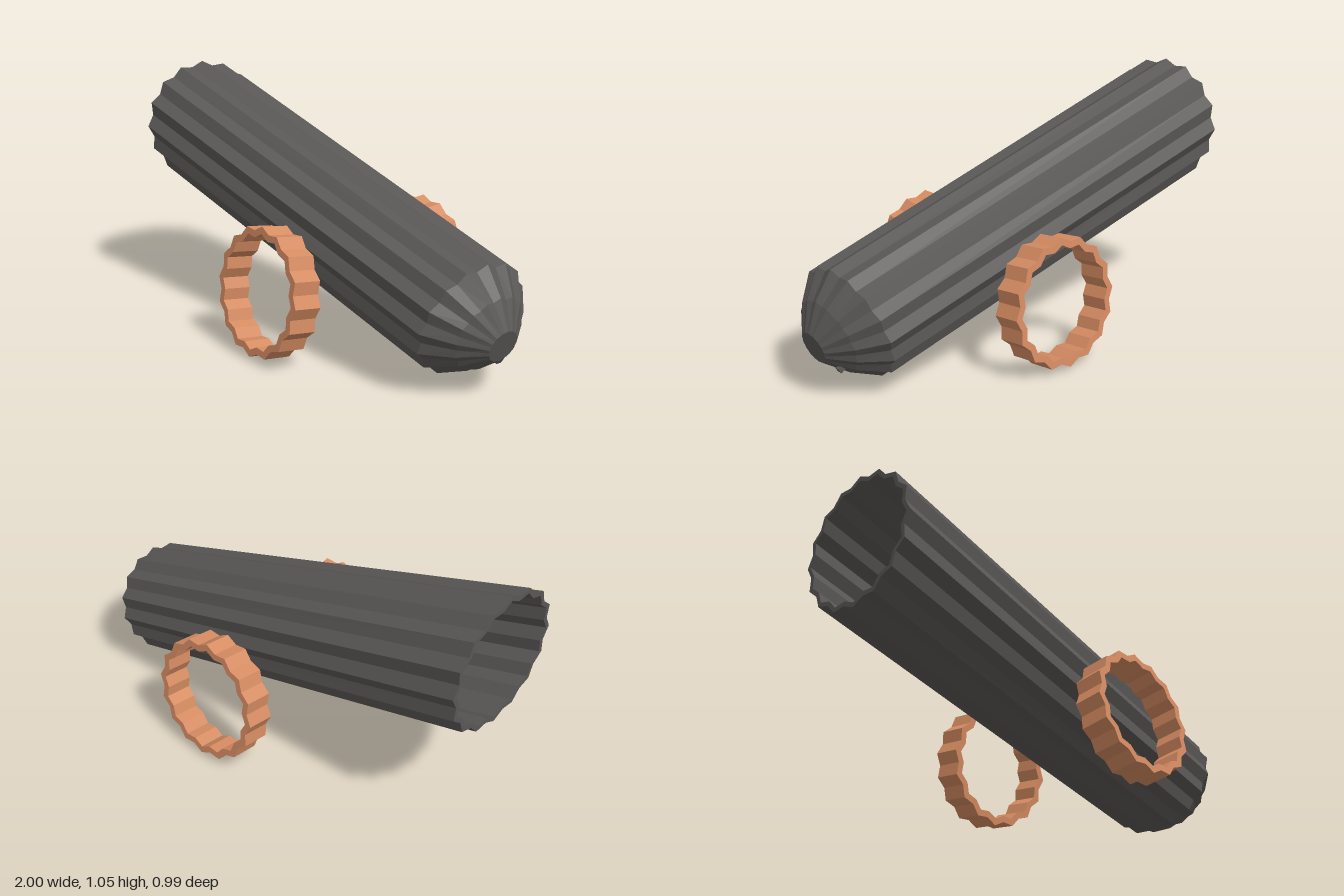
import * as THREE from 'three';

const LOBES = 16;

// Closed star-like outline: ridges at radius r, grooves at r * k
function starPoints(r, k) {
  return Array.from({ length: LOBES * 2 }, (_, i) => {
    const a = (i * Math.PI) / LOBES;
    const q = i % 2 ? r * k : r;
    return new THREE.Vector2(Math.sin(a) * q, Math.cos(a) * q);
  });
}

// Skin between fluted cross-sections: faces outward along +x, inward along -x
function loft(sections) {
  const n = LOBES * 2, pos = [], index = [];
  for (const { c, lean, ry, rz, k } of sections) {
    for (const p of starPoints(1, k)) {
      const h = p.y * ry;
      pos.push(c[0] + h * Math.sin(lean), c[1] + h * Math.cos(lean), c[2] + p.x * rz);
    }
  }
  for (let j = 0; j < sections.length - 1; j++) {
    for (let i = 0; i < n; i++) {
      const a = j * n + i, b = j * n + ((i + 1) % n);
      index.push(a, b, a + n, b, b + n, a + n);
    }
  }
  const geo = new THREE.BufferGeometry();
  geo.setAttribute('position', new THREE.Float32BufferAttribute(pos, 3));
  geo.setIndex(index);
  const flat = geo.toNonIndexed();
  flat.computeVertexNormals();
  return flat;
}

// Same cross-section with its radii reduced by a wall thickness
const inset = (s, t) => ({ ...s, ry: s.ry - t, rz: s.rz - t });
// Same cross-section shrunk to its centre, to close an end
const centre = (s) => ({ ...s, ry: 0, rz: 0 });

export function createModel() {
  const iron = new THREE.MeshStandardMaterial({ color: 0x5a5856, flatShading: true, side: THREE.DoubleSide });
  iron.name = 'darkIron';
  const copper = new THREE.MeshStandardMaterial({ color: 0xd68c62, flatShading: true });
  copper.name = 'copperWood';

  const model = new THREE.Group();
  model.name = 'cannon';
  const add = (name, geo, mat) => {
    const mesh = new THREE.Mesh(geo, mat);
    mesh.name = name;
    model.add(mesh);
    return mesh;
  };

  // Fluted barrel: bore from its closed end to the muzzle, lip, then the outside
  const muzzle = { c: [-0.992, 0.769, 0], lean: -0.027, ry: 0.28, rz: 0.306, k: 0.925 };
  const shoulder = { c: [0.815, 0.27, -0.02], lean: 0.315, ry: 0.242, rz: 0.261, k: 0.925 };
  const boreEnd = inset(shoulder, 0.02);
  add('barrel', loft([centre(boreEnd), boreEnd, inset(muzzle, 0.02), muzzle, shoulder]), iron);

  // Slightly domed breech closed by a small flat disc
  const dome = { c: [0.911, 0.239, -0.02], lean: 0.307, ry: 0.16, rz: 0.17, k: 0.935 };
  const disc = { c: [0.98, 0.213, -0.02], lean: 0.3, ry: 0.066, rz: 0.07, k: 0.96 };
  add('breech', loft([shoulder, dome, disc, centre(disc)]), iron);

  // Tiny fuse stub low on the breech
  const fuse = add('fuseStub', new THREE.BoxGeometry(0.025, 0.025, 0.025), iron);
  fuse.position.set(0.905, 0.127, -0.077);
  fuse.rotation.z = -0.6;

  // Hollow wheels leaning in towards the barrel
  const rim = new THREE.Shape(starPoints(0.265, 0.925).reverse());
  rim.holes.push(new THREE.Path(starPoints(0.235, 0.925)));
  const wheelGeo = new THREE.ExtrudeGeometry(rim, { depth: 0.12, bevelEnabled: false });
  wheelGeo.translate(0, 0, -0.06);
  for (const [name, z, lean] of [['frontWheel', 0.397, -0.138], ['backWheel', -0.402, 0.116]]) {
    const wheel = add(name, wheelGeo, copper);
    wheel.position.set(0.1, 0.273, z);
    wheel.rotation.x = lean;
  }
  return model;
}
